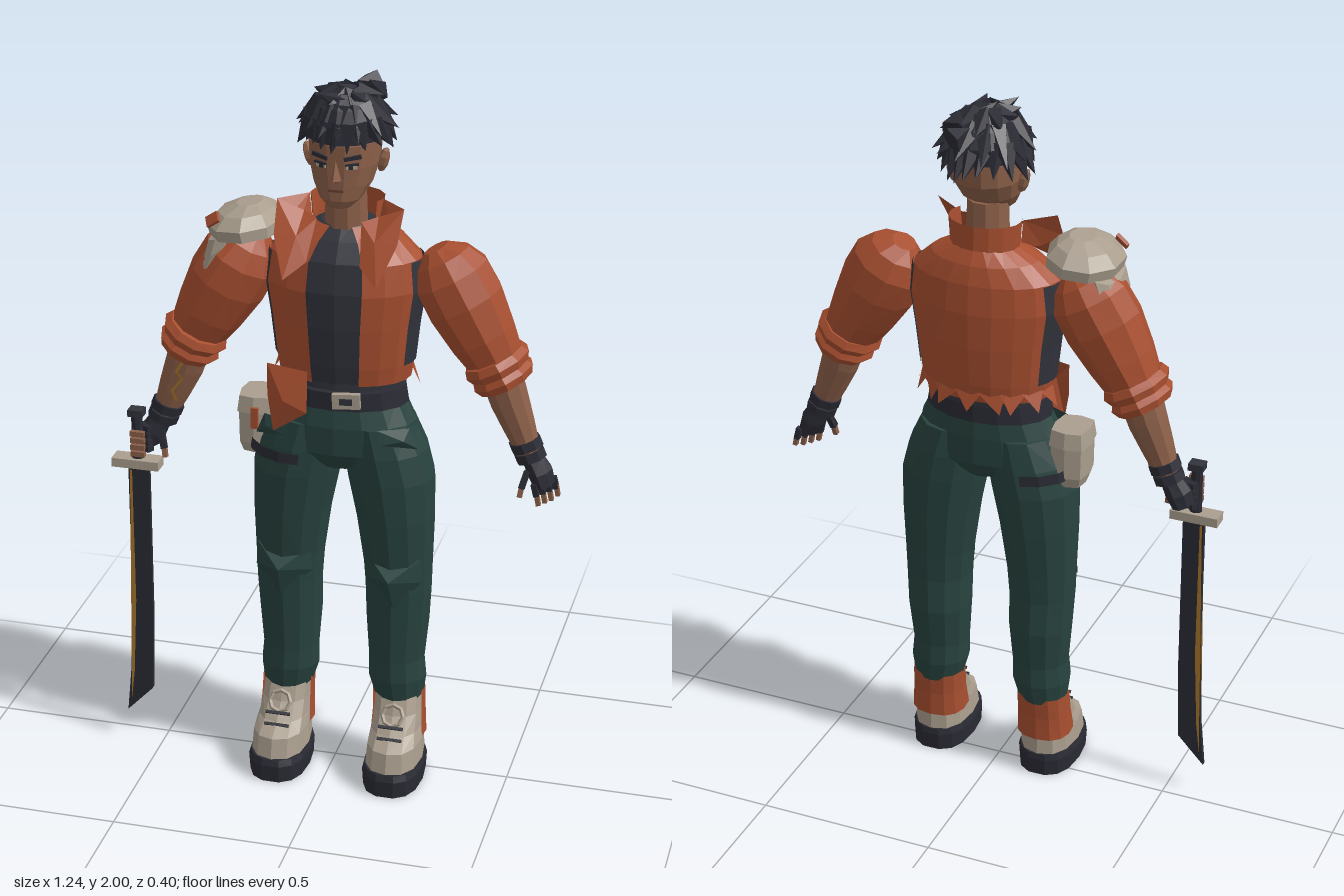
import * as THREE from 'three';

const mat = (name, color) => Object.assign(new THREE.MeshStandardMaterial({ color, side: THREE.DoubleSide }), { name });

export function createModel() {
  const M = {
    jacket: mat('rust orange', 0xa84f30), pants: mat('dark green', 0x28433f), shirt: mat('charcoal', 0x32343c),
    hair: mat('blue black', 0x2a2a34), skin: mat('brown skin', 0x8c6049), cream: mat('cream', 0xaa9e8e),
    gold: mat('gold', 0xa8762c), lip: mat('dark lip', 0x6a4034),
  };
  const root = new THREE.Group();
  root.name = 'swordsman';
  const body = new THREE.Group();
  body.name = 'body';
  body.position.x = 0.025;
  root.add(body);

  const add = (parent, name, geo, material) => {
    const g = geo.index ? geo.toNonIndexed() : geo;
    g.computeVertexNormals();
    const m = new THREE.Mesh(g, material);
    m.name = name;
    parent.add(m);
    return m;
  };
  const fromTris = (pos, idx) => {
    const g = new THREE.BufferGeometry();
    g.setAttribute('position', new THREE.Float32BufferAttribute(pos, 3));
    g.setIndex(idx);
    return g;
  };
  // Skin over rings [x, y, z, rx, rz], listed from bottom to top
  const loft = (rings, { n = 12, a0 = 0, a1 = Math.PI * 2, tilt = 0, cap = true, pow = 1 } = {}) => {
    const pos = [], idx = [], w = n + 1;
    const soft = (v) => Math.sign(v) * Math.abs(v) ** pow;
    rings.forEach(([x, y, z, rx, rz]) => {
      for (let j = 0; j <= n; j++) {
        const a = a0 + ((a1 - a0) * j) / n, c = soft(Math.cos(a)) * rx;
        pos.push(x + c * Math.cos(tilt), y + c * Math.sin(tilt), z + soft(Math.sin(a)) * rz);
      }
    });
    for (let i = 0; i < rings.length - 1; i++) for (let j = 0; j < n; j++) {
      const a = i * w + j, b = a + w;
      idx.push(a, b, a + 1, b, b + 1, a + 1);
    }
    if (cap) {
      const k = pos.length / 3, top = (rings.length - 1) * w;
      pos.push(...rings[0].slice(0, 3), ...rings[rings.length - 1].slice(0, 3));
      for (let j = 0; j < n; j++) idx.push(k, j, j + 1, k + 1, top + j + 1, top + j);
    }
    return fromTris(pos, idx);
  };
  // Triangle fan around the first point
  const fan = (pts) => fromTris(pts.flat(), pts.slice(2).flatMap((_, i) => [0, i + 1, i + 2]));
  const box = (parent, name, material, size, at, rot = [0, 0, 0]) => {
    const m = add(parent, name, new THREE.BoxGeometry(...size), material);
    m.position.set(...at);
    m.rotation.set(...rot);
    return m;
  };
  // Cone from one point to another, flattened across
  const spike = (parent, name, material, a, b, r) => {
    const p = new THREE.Vector3(...a), q = new THREE.Vector3(...b), d = q.clone().sub(p);
    const m = add(parent, name, new THREE.ConeGeometry(r, d.length(), 5), material);
    m.position.copy(p).add(q).multiplyScalar(0.5);
    m.quaternion.setFromUnitVectors(new THREE.Vector3(0, 1, 0), d.normalize());
  };
  const PI = Math.PI;

  // Torso, jacket and collar
  const coat = [[1.2, .18, .12, -.015], [1.25, .188, .128, -.015], [1.36, .2, .138, -.015], [1.46, .215, .14, -.015],
    [1.54, .205, .128, -.02], [1.59, .15, .105, -.03], [1.625, .085, .08, -.035]];
  const wrap = (g, lo = 0, hi = coat.length) => coat.slice(lo, hi).map(([y, rx, rz, z]) => [0, y, z, rx + g, rz + g]);
  add(body, 'shirt', loft([[0, 1.12, -.01, .155, .105], ...wrap(-.012)], { n: 16 }), M.shirt);
  add(body, 'jacket', loft(wrap(0), { n: 18, a0: PI / 2 + .36, a1: PI * 2.5 - .36, cap: false }), M.jacket);
  add(body, 'collar', loft([[0, 1.59, -.033, .092, .083], [0, 1.69, -.033, .1, .078]],
    { n: 10, a0: PI - .5, a1: PI * 2 + .5, cap: false }), M.jacket);
  for (let i = 0; i < 9; i++) {
    const p = (a, y, k) => [Math.cos(a) * .18 * k, y, -.015 + Math.sin(a) * .12 * k], a = PI + i * PI / 9;
    add(body, 'tornHem', fan([p(a, 1.23, 1.03), p(a + .42, 1.23, 1.03), p(a + .1 + (i % 3) * .1, 1.175, 1.14)]), M.jacket);
  }
  add(body, 'frontFlap', fan([[-.13, 1.16, .15], [-.19, 1.24, .09], [-.07, 1.24, .122], [-.072, 1.12, .125],
    [-.165, 1.06, .125], [-.19, 1.15, .09], [-.19, 1.24, .09]]), M.jacket);
  add(body, 'neck', loft([[0, 1.57, -.02, .06, .06], [0, 1.74, -.015, .055, .06]], { n: 10 }), M.skin);

  // Hips, belt and buckle
  add(body, 'hips', loft([[0, .95, 0, .07, .09], [0, 1, 0, .215, .118], [0, 1.08, 0, .2, .12], [0, 1.15, -.005, .165, .112]], { n: 16 }), M.pants);
  add(body, 'belt', loft([[0, 1.13, -.005, .178, .118], [0, 1.18, -.005, .17, .117]], { n: 16 }), M.hair);
  box(body, 'buckle', M.cream, [.075, .042, .016], [.035, 1.165, .117], [0, .06, .06]);
  box(body, 'bucklePlate', M.shirt, [.035, .018, .008], [.035, 1.165, .123], [0, .06, .06]);

  // Parts that repeat on both sides
  for (const s of [1, -1]) {
    const side = new THREE.Group();
    side.name = s > 0 ? 'leftSide' : 'rightSide';
    side.scale.x = s;
    body.add(side);

    add(side, 'sidePanel', loft(wrap(.004, 1, 5), { n: 4, a0: -.5, a1: .45, cap: false }), M.shirt);
    add(side, 'lapel', fan([[.105, 1.61, .1], [.06, 1.65, .06], [.1, 1.66, .035], [.17, 1.69, .045], [.165, 1.61, .1],
      [.125, 1.51, .165], [.072, 1.55, .125], [.06, 1.65, .06]]), M.jacket);
    add(side, 'lapelBack', fan([[.1, 1.69, -.02], [.17, 1.69, .045], [.165, 1.61, .1], [.12, 1.59, .06], [.085, 1.6, 0]]), M.jacket);

    add(side, 'leg', loft([[.16, .24, 0, .07, .07], [.155, .3, 0, .083, .08], [.152, .36, 0, .08, .078], [.153, .48, -.005, .09, .088],
      [.155, .58, 0, .094, .088], [.153, .66, 0, .098, .094], [.145, .8, 0, .11, .11], [.132, .92, 0, .122, .12],
      [.115, 1, 0, .118, .12], [.095, 1.08, 0, .1, .113]], { n: 12 }), M.pants);
    const rim = [[.08, .69, .06], [.23, .69, .06], [.235, .62, .06], [.16, .54, .085], [.075, .62, .06], [.08, .69, .06]];
    add(side, 'kneePad', fan([[.155, .64, .128], ...rim]), M.pants);
    add(side, 'pocketFlap', fan([[.19, 1.06, .108], [.12, 1.09, .122], [.2, 1.09, .085], [.225, 1.03, .08], [.13, 1.05, .128], [.12, 1.09, .122]]), M.pants);

    add(side, 'sole', loft([[.165, 0, .066, .082, .128], [.165, .05, .066, .085, .131], [.165, .068, .064, .08, .126]], { n: 14, pow: .8 }), M.hair);
    add(side, 'boot', loft([[.165, .065, .063, .079, .122], [.165, .125, .057, .075, .114], [.163, .155, .035, .07, .09],
      [.162, .2, .016, .068, .07], [.16, .25, .003, .066, .062]], { n: 12, pow: .85 }), M.cream);
    add(side, 'heelPanel', loft([[.163, .12, .012, .078, .077], [.162, .19, .002, .074, .066], [.16, .255, -.003, .073, .066]],
      { n: 8, a0: PI - .35, a1: PI * 2 + .35, cap: false, pow: .85 }), M.jacket);
    const loop = add(side, 'bootLoop', new THREE.TorusGeometry(.03, .006, 4, 8), M.cream);
    loop.position.set(.163, .205, .09);
    loop.rotation.set(-.5, 0, 0);
    for (const y of [.15, .18]) box(side, 'lace', M.shirt, [.07, .008, .008], [.163, y, .205 - y * .5], [-.8, 0, 0]);

    add(side, 'sleeve', loft([[.412, 1.275, -.005, .078, .08], [.375, 1.34, -.005, .094, .093], [.325, 1.43, -.008, .109, .104],
      [.285, 1.5, -.012, .107, .1], [.26, 1.545, -.015, .078, .075], [.242, 1.57, -.015, .035, .04]], { n: 10, tilt: .5 }), M.jacket);
    for (const [x, y, r] of [[.432, 1.235, .088], [.415, 1.27, .094]])
      add(side, 'rolledCuff', loft([[x + .01, y - .018, 0, r - .012, r], [x, y, 0, r, r + .008], [x - .01, y + .018, 0, r - .012, r]], { n: 10, tilt: .47 }), M.jacket);
    add(side, 'forearm', loft([[.51, 1.02, .003, .033, .033], [.478, 1.1, .002, .046, .044], [.45, 1.17, 0, .055, .053], [.43, 1.23, 0, .058, .058]], { n: 10, tilt: .42 }), M.skin);
    for (const [x, y, r] of [[.512, 1.015, .043], [.5, 1.045, .045]])
      add(side, 'wristBand', loft([[x + .005, y - .012, .003, r, r], [x - .005, y + .012, .003, r, r]], { n: 8, tilt: .35 }), M.hair);
    add(side, 'glove', loft([[.555, .935, .008, .03, .04], [.54, .97, .006, .036, .042], [.517, 1.01, .003, .03, .032]], { n: 8, tilt: .35 }), M.hair);
    for (let i = 0; i < 4; i++) {
      if (s > 0) {
        const x = .535 + i * .014, z = .038 - i * .02;
        box(side, 'gloveFinger', M.hair, [.015, .035, .017], [x, .928, z], [0, 0, .25]);
        box(side, 'fingertip', M.skin, [.012, .032, .014], [x + .007, .9 + (i === 3 ? .006 : 0), z], [0, 0, .2]);
      } else {
        const y = .925 + i * .02;
        box(side, 'gloveFinger', M.hair, [.05, .017, .022], [.56, y, .035], [0, .5, 0]);
        box(side, 'fingertip', M.skin, [.04, .015, .014], [.565, y - .003, .078]);
      }
    }
    box(side, 'thumb', M.hair, [.016, .05, .018], [.505, .955, .04], [-.3, 0, -.25]);
    box(side, 'thumbTip', M.skin, [.013, .025, .014], [.497, .92, .048], [-.2, 0, -.15]);

    // Face halves
    box(side, 'eye', M.cream, [.03, .01, .007], [.04, 1.807, .086], [0, .35, 0]);
    box(side, 'iris', M.hair, [.012, .011, .007], [.038, 1.807, .088], [0, .35, 0]);
    box(side, 'eyelid', M.hair, [.036, .005, .008], [.041, 1.814, .087], [0, .35, .05]);
    box(side, 'eyebrow', M.hair, [.046, .01, .009], [.043, 1.832, .087], [0, .38, .14]);
    const ear = add(side, 'ear', new THREE.SphereGeometry(.03, 6, 5), M.skin);
    ear.scale.set(.5, 1.15, .75);
    ear.position.set(.1, 1.8, -.015);
    ear.rotation.z = -.25;
  }

  // Head
  add(body, 'head', loft([[0, 1.69, .048, .032, .036], [0, 1.712, .035, .056, .058], [0, 1.75, .008, .078, .086], [0, 1.8, -.01, .092, .106],
    [0, 1.86, -.012, .095, .11], [0, 1.92, -.012, .085, .098], [0, 1.955, -.012, .05, .06]], { n: 14, pow: .92 }), M.skin);
  add(body, 'nose', fan([[0, 1.775, .122], [0, 1.825, .094], [.018, 1.768, .088], [0, 1.763, .09], [-.018, 1.768, .088], [0, 1.825, .094]]), M.skin);
  box(body, 'mouth', M.lip, [.04, .007, .009], [0, 1.742, .092]);

  // Hair cap with swept locks in three tiers
  add(body, 'hairCap', loft([[0, 1.865, -.015, .103, .117], [0, 1.91, -.018, .104, .115], [0, 1.95, -.018, .085, .095], [0, 1.982, -.015, .045, .055]], { n: 12 }), M.hair);
  [[20, 1.91, .084, 1.832, .125, .033], [15, 1.945, .062, 1.885, .138, .032], [9, 1.965, .03, 1.965, .1, .034]].forEach(([n, y0, r0, y1, r1, w], t) => {
    for (let i = 0; i < n; i++) {
      const a = (i / n) * PI * 2 + t * .2, c = Math.cos(a), d = Math.sin(a), wob = Math.sin(i * 7.3 + t * 2.1);
      const back = Math.max(0, -d), front = Math.max(0, d);
      const tip = [c * r1 + .012 * wob, y1 + wob * .013 + front * .022 * (t === 0), -.02 + d * (r1 + back * .025 - front * .004)];
      spike(body, 'hairLock', M.hair, [c * r0, y0, -.015 + d * r0], tip, w);
    }
  });
  for (const [x, y, z] of [[-.05, 1.99, .07], [.03, 1.995, .05], [-.02, 1.998, 0], [.06, 1.985, -.06], [0, 1.97, -.13]])
    spike(body, 'topLock', M.hair, [x * .4 + .03, 1.95, z - .05], [x, y, z], .036);

  // Layered shoulder guard on the right arm
  add(root, 'shoulderGuard', loft([[-.235, 1.585, .01, .1, .122], [-.24, 1.615, .01, .103, .126], [-.238, 1.645, .01, .075, .095], [-.23, 1.664, .01, .035, .045]], { n: 9, tilt: .1 }), M.cream);
  add(root, 'guardPlate', loft([[-.315, 1.53, .01, .042, .085], [-.3, 1.58, .01, .042, .09]], { n: 8, tilt: .5 }), M.cream);
  add(root, 'guardTip', loft([[-.335, 1.485, .01, .035, .065], [-.315, 1.53, .01, .036, .075]], { n: 8, tilt: .5 }), M.cream);
  box(root, 'guardMark', M.jacket, [.04, .03, .009], [-.31, 1.63, .085], [-.6, -.5, .4]);

  // Hip pouch and thigh strap
  add(root, 'pouch', loft([[-.215, .95, -.005, .04, .05], [-.215, .98, -.005, .05, .06], [-.215, 1.085, -.005, .052, .06]], { n: 8, pow: .5 }), M.cream);
  add(root, 'pouchLid', loft([[-.215, 1.07, -.005, .056, .066], [-.215, 1.115, -.005, .05, .058]], { n: 8, pow: .5 }), M.cream);
  box(root, 'pouchTab', M.jacket, [.02, .06, .009], [-.21, 1.06, .062]);
  add(root, 'thighStrap', loft([[-.112, .965, 0, .127, .126], [-.108, .995, 0, .126, .126]], { n: 8, a0: PI / 2 - .3, a1: PI * 1.5, tilt: -.08, cap: false }), M.hair);

  // Painted forearm marking
  const ink = [[-.41, 1.21], [-.435, 1.17], [-.42, 1.15], [-.45, 1.11], [-.44, 1.08]];
  for (let i = 0; i < 4; i++) {
    const [x, y] = ink[i], [u, v] = ink[i + 1], z = .06 - i * .003;
    add(root, 'forearmMark', fan([[x, y, z], [x + .009, y, z], [u + .009, v, z - .003], [u, v, z - .003]]), M.gold);
  }

  // Sword
  const sword = new THREE.Group();
  sword.name = 'sword';
  sword.position.z = .05;
  root.add(sword);
  const outline = [[-.577, .88], [-.517, .88], [-.519, .4], [-.527, .17], [-.603, .09], [-.59, .22], [-.578, .45]].map((p) => new THREE.Vector2(...p));
  add(sword, 'blade', new THREE.ExtrudeGeometry(new THREE.Shape(outline), { depth: .014, bevelEnabled: false }).translate(0, 0, -.007), M.hair);
  for (const z of [-.0085, .0085])
    add(sword, 'edgeStripe', fan([[-.572, .86, z], [-.566, .86, z], [-.567, .45, z], [-.579, .22, z], [-.59, .13, z], [-.585, .22, z], [-.573, .45, z]]), M.gold);
  box(sword, 'guard', M.cream, [.135, .026, .05], [-.552, .885, 0]);
  add(sword, 'handle', loft([[-.55, .89, 0, .018, .015], [-.55, 1.03, 0, .016, .014]], { n: 8 }), M.hair);
  box(sword, 'pommel', M.shirt, [.042, .02, .036], [-.55, 1.035, 0]);
  return root;
}
